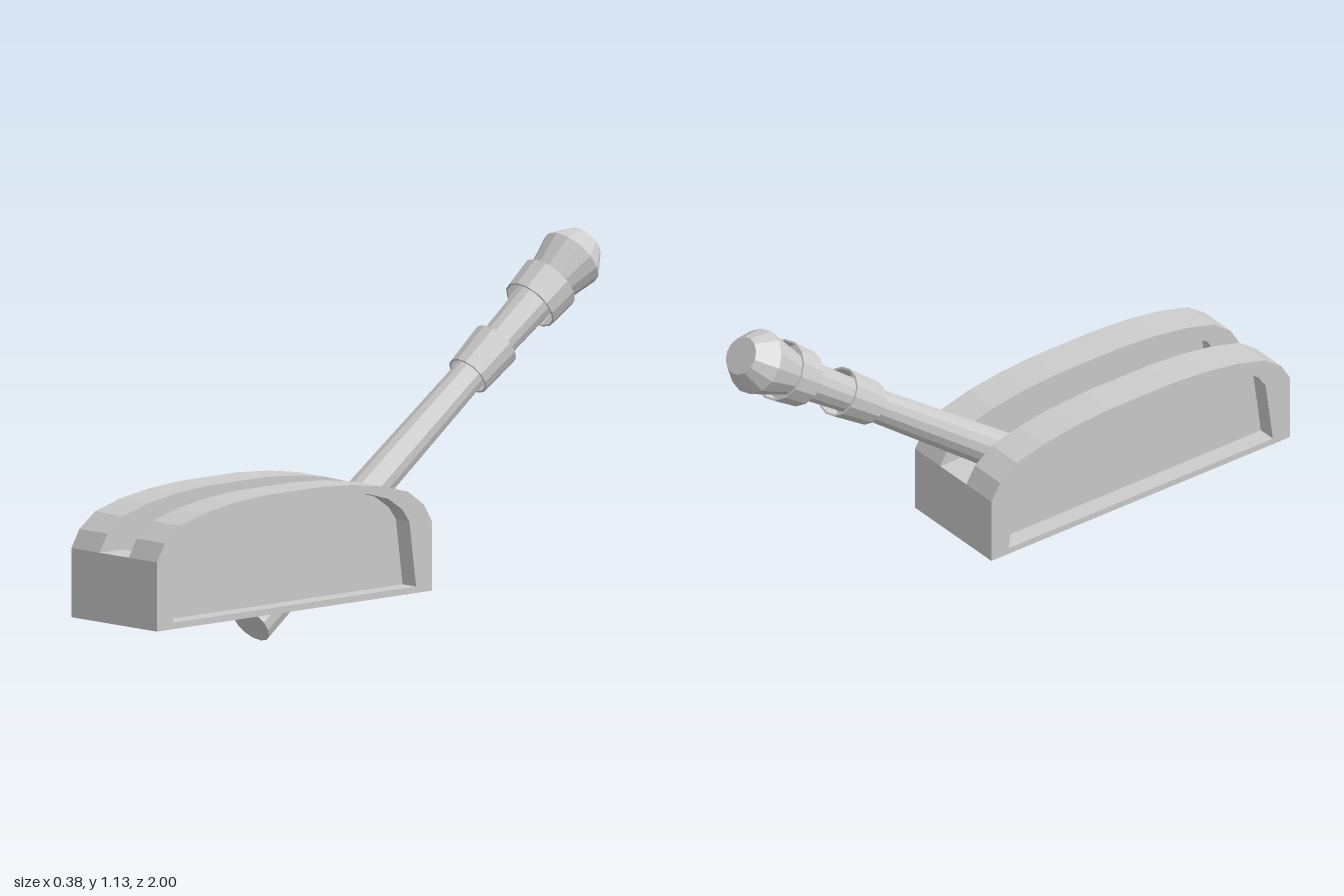
import * as THREE from 'three';

const mat = new THREE.MeshStandardMaterial({ color: 0xcccccc, flatShading: true });
const MID = 0.4265; // z of the housing's middle

// Mirror a half profile [distance from the middle, y] into a closed side outline
function outline(half) {
  const pts = half.map(([d, y]) => new THREE.Vector2(-(MID + d), y));
  const back = half.map(([d, y]) => new THREE.Vector2(-(MID - d), y)).reverse();
  return [...pts, ...back];
}

// Extrude a side outline (shape x = -z) across the width from x0 to x1
function slab(name, shape, x0, x1) {
  const geo = new THREE.ExtrudeGeometry(shape, { depth: x1 - x0, bevelEnabled: false });
  geo.rotateY(Math.PI / 2).translate(x0, 0, 0);
  const mesh = new THREE.Mesh(geo, mat);
  mesh.name = name;
  return mesh;
}

function lathe(name, profile) {
  const geo = new THREE.LatheGeometry(profile.map(([r, y]) => new THREE.Vector2(r, y)), 14);
  const mesh = new THREE.Mesh(geo, mat);
  mesh.name = name;
  return mesh;
}

// Thin-walled sleeve, open at both ends, joined to the shaft by a web halfway up
function collar(name, y0, y1, r0, r1) {
  const w = 0.006, ym = (y0 + y1) / 2;
  return lathe(name, [[0.04, ym], [r0 - w, ym], [r0 - w, y0], [r0, y0],
    [r1, y1], [r1 - w, y1], [r1 - w, ym], [0.04, ym]]);
}

export function createModel() {
  const model = new THREE.Group();
  model.name = 'leverAndHousing';

  // Housing: two arched cheeks, each a deep rim around a thin middle panel
  const housing = new THREE.Group();
  housing.name = 'housing';
  const outer = outline([[0.5735, 0.117], [0.5735, 0.33], [0.54, 0.385], [0.475, 0.432],
    [0.37, 0.46], [0.25, 0.478], [0.12, 0.487]]);
  const inner = outline([[0.507, 0.137], [0.479, 0.34], [0.45, 0.38], [0.39, 0.42],
    [0.31, 0.443], [0.2, 0.458], [0.1, 0.463]]);
  const panel = new THREE.Shape(outer.map((p) => p.clone()));
  const rim = new THREE.Shape(outer);
  rim.holes.push(new THREE.Path(inner.reverse()));
  const sunk = new THREE.Shape(inner);
  panel.curves = sunk.curves;
  housing.add(
    slab('leftCheekRim', rim, 0.065, 0.19), slab('leftCheekPanel', panel, 0.125, 0.13),
    slab('rightCheekRim', rim, -0.19, -0.065), slab('rightCheekPanel', panel, -0.13, -0.125));

  // Centre piece: a ledge at each end and a low floor in the slot
  const centre = new THREE.Shape(outline([[0.5735, 0.117], [0.5735, 0.33], [0.48, 0.33], [0.507, 0.137]]));
  housing.add(slab('slotFloor', centre, -0.065, 0.065));
  model.add(housing);

  // Lever: built upright, then tilted back through the slot
  const lever = new THREE.Group();
  lever.name = 'lever';
  lever.add(
    lathe('shaft', [[0, 0], [0.069, 0], [0.052, 1.15], [0.066, 1.52], [0, 1.52]]),
    collar('lowerCollar', 1.122, 1.265, 0.07, 0.078),
    collar('upperCollar', 1.443, 1.543, 0.09, 0.097),
    lathe('knob', [[0, 1.47], [0.06, 1.47], [0.103, 1.657], [0.06, 1.727], [0, 1.727]]));
  lever.position.set(0, 0.056, 0.43);
  lever.rotation.x = -(90 - 36.3) * Math.PI / 180;
  model.add(lever);

  return model;
}
